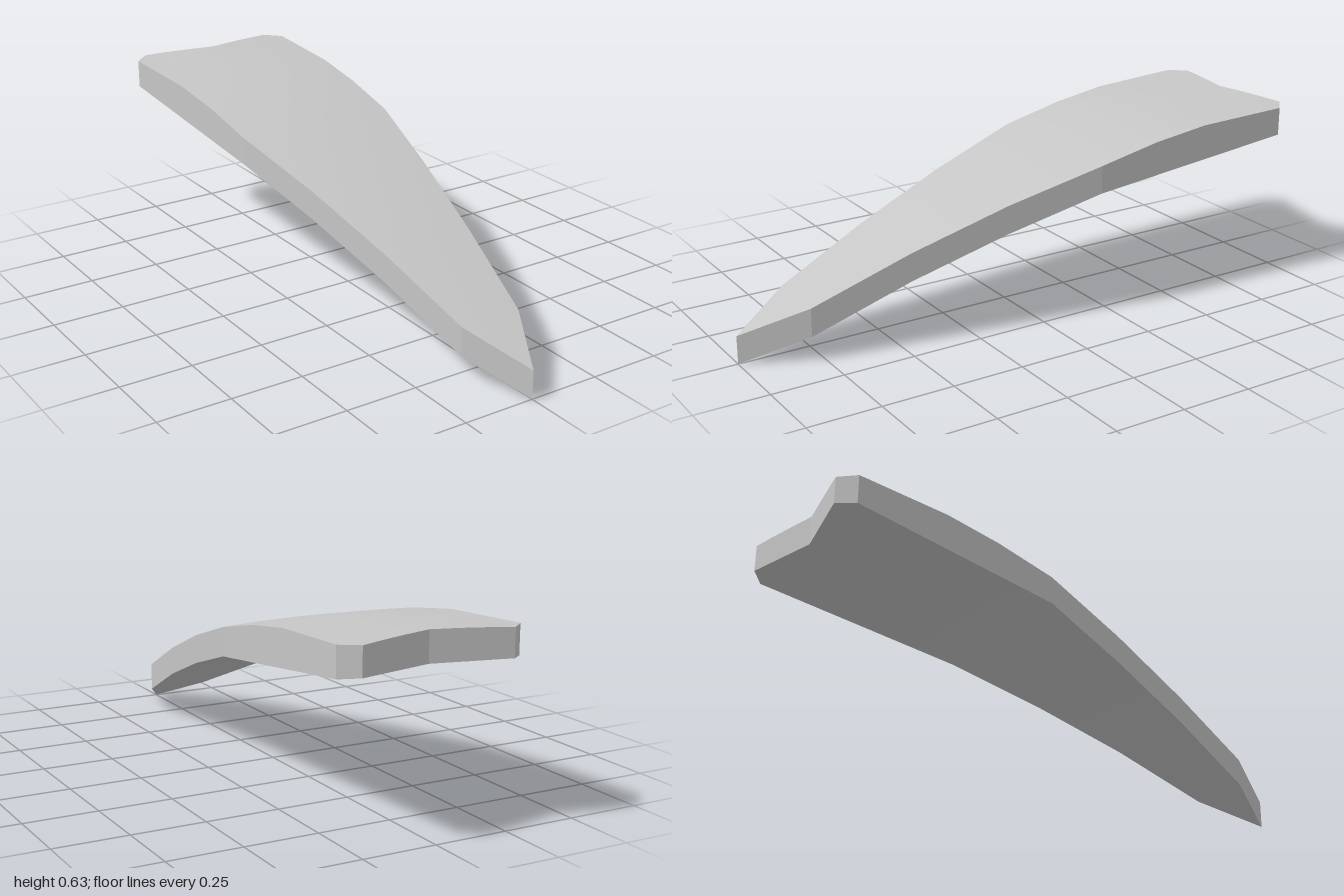
import * as THREE from 'three';

// Piecewise linear lookup in [key, value] pairs with rising keys
function lerpTable(table, k) {
  let i = 1;
  while (i < table.length - 1 && k > table[i][0]) i++;
  const [k0, v0] = table[i - 1], [k1, v1] = table[i];
  return v0 + (v1 - v0) * (k - k0) / (k1 - k0);
}

// Each skin: centreline heights by z from back to front, and the drop towards the sides
const upper = {
  heights: [[-1, 0.629], [-0.94, 0.63], [-0.62, 0.615], [-0.42, 0.586], [-0.2, 0.538],
    [0.13, 0.44], [0.46, 0.322], [0.79, 0.184], [1, 0.097]],
  drop: (x) => 0.1 * x * x,
};
const lower = {
  heights: [[-1, 0.536], [-0.2, 0.441], [0.13, 0.343], [0.46, 0.227], [0.79, 0.088], [1, 0]],
  drop: (x) => 0.027 * Math.abs(x),
};
// Half width by z, and the notched back edge by |x|
const halfWidth = [[-0.95, 0.315], [-0.2, 0.29], [0.79, 0.11], [1, 0]];
const backEdge = [[0, -0.94], [0.26, -1], [0.315, -0.95]];

const rows = [1, 0.79, 0.46, 0.13, -0.2, -0.42, -0.62, -0.95];
const columns = [-1, -0.26 / 0.315, -0.6, -0.3, 0, 0.3, 0.6, 0.26 / 0.315, 1];
const last = rows.length - 1, side = columns.length - 1;

// Point on a skin: lengthwise arch with a slight crown across
function point(i, j, { heights, drop }) {
  const x = columns[j] * lerpTable(halfWidth, rows[i]);
  const z = i === last ? lerpTable(backEdge, Math.abs(x)) : rows[i];
  return [x, lerpTable(heights, z) - drop(x), z];
}

function skin(profile, faceUp) {
  const positions = [], index = [], n = columns.length;
  rows.forEach((_, i) => columns.forEach((_, j) => positions.push(...point(i, j, profile))));
  // The whole front row is one point, so it shares vertex 0
  const tri = (...corners) => {
    const [a, b, c] = corners.map((v) => (v < n ? 0 : v));
    index.push(...(faceUp ? [a, b, c] : [a, c, b]));
  };
  for (let i = 0; i < last; i++) {
    for (let j = 0; j < side; j++) {
      const a = i * n + j;
      if (i > 0) tri(a, a + 1, a + n + 1);
      tri(a, a + n + 1, a + n);
    }
  }
  const geometry = new THREE.BufferGeometry();
  geometry.setAttribute('position', new THREE.Float32BufferAttribute(positions, 3));
  geometry.setIndex(index);
  geometry.computeVertexNormals();
  return geometry;
}

// Flat wall running round the outline from the front tip
function rim() {
  const loop = [];
  for (let i = 0; i <= last; i++) loop.push([i, side]);
  for (let j = side - 1; j >= 0; j--) loop.push([last, j]);
  for (let i = last - 1; i >= 0; i--) loop.push([i, 0]);
  const positions = [];
  for (let k = 0; k < loop.length - 1; k++) {
    const p = loop[k], q = loop[k + 1];
    const b0 = point(...p, lower), b1 = point(...q, lower);
    const t0 = point(...p, upper), t1 = point(...q, upper);
    positions.push(...b0, ...b1, ...t1, ...b0, ...t1, ...t0);
  }
  const geometry = new THREE.BufferGeometry();
  geometry.setAttribute('position', new THREE.Float32BufferAttribute(positions, 3));
  geometry.computeVertexNormals();
  return geometry;
}

export function createModel() {
  const group = new THREE.Group();
  group.name = 'curvedBlade';
  const lightGrey = new THREE.MeshStandardMaterial({ color: 0xc6c6c6 });
  lightGrey.name = 'lightGrey';
  const add = (name, geometry) => {
    const mesh = new THREE.Mesh(geometry, lightGrey);
    mesh.name = name;
    group.add(mesh);
  };
  add('topSkin', skin(upper, true));
  add('undersideSkin', skin(lower, false));
  add('rimWall', rim());
  return group;
}
